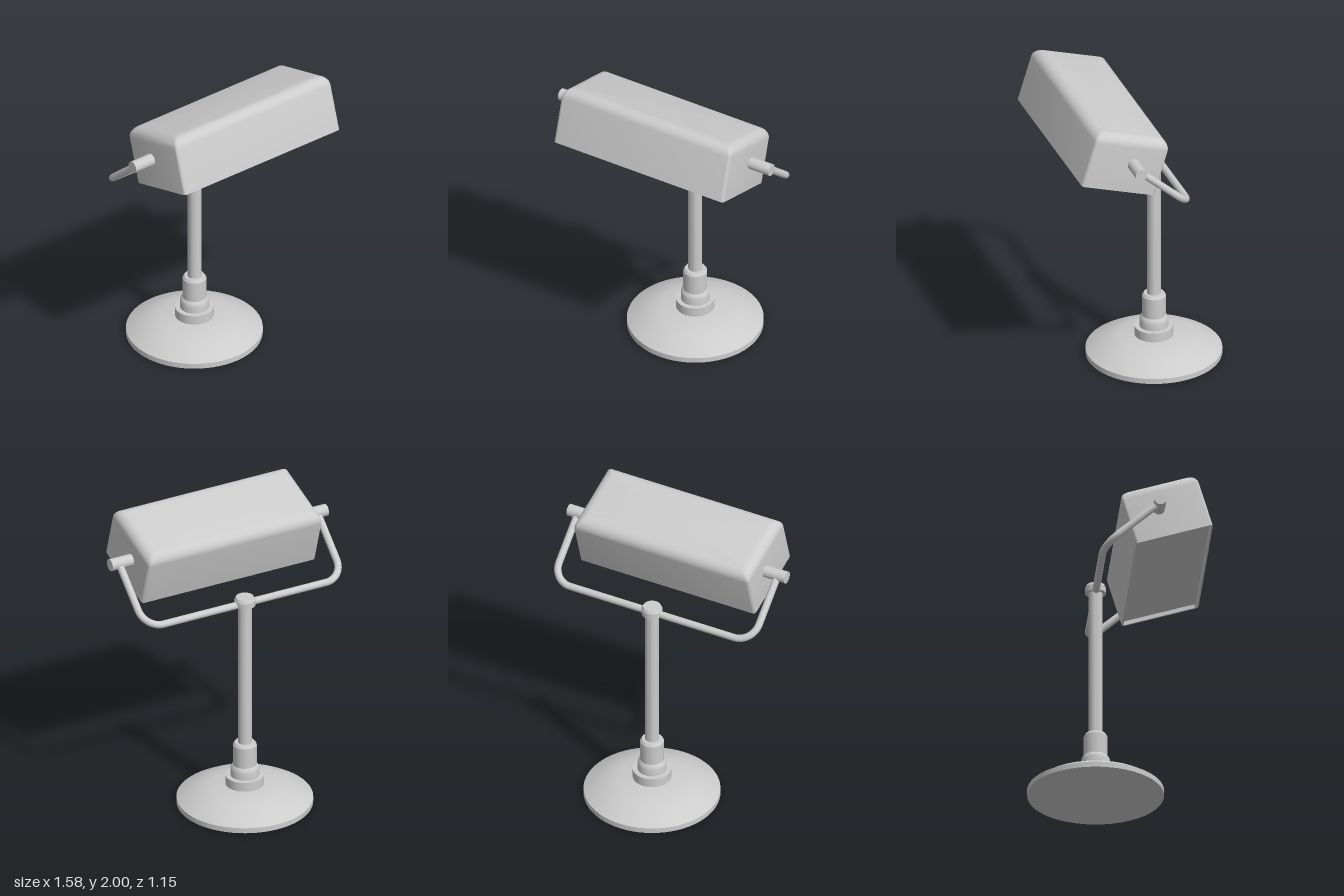
import * as THREE from 'three';
import { toCreasedNormals } from 'three/addons/utils/BufferGeometryUtils.js';

const AXIS_Z = -0.135; // stand axis
const PIVOT = { y: 1.75, z: 0.225 };

const metal = new THREE.MeshStandardMaterial({ color: 0xcccccc });
metal.name = 'grey metal';

function add(parent, name, geometry) {
  const mesh = new THREE.Mesh(geometry, metal);
  mesh.name = name;
  parent.add(mesh);
  return mesh;
}

function lathe(parent, name, profile, segments = 48) {
  const points = profile.map(([r, y]) => new THREE.Vector2(r, y));
  const mesh = add(parent, name, toCreasedNormals(new THREE.LatheGeometry(points, segments), 0.45));
  mesh.position.z = AXIS_Z;
  return mesh;
}

// Rounded rectangle seen from above, counter-clockwise
function ring(halfX, halfZ, radius, y) {
  const points = [];
  const steps = 4;
  const signs = [[1, 1], [-1, 1], [-1, -1], [1, -1]];
  signs.forEach(([sx, sz], corner) => {
    for (let i = 0; i <= steps; i++) {
      const a = (corner + i / steps) * Math.PI / 2;
      points.push([
        sx * (halfX - radius) + radius * Math.cos(a),
        y,
        -(sz * (halfZ - radius) + radius * Math.sin(a)),
      ]);
    }
  });
  return points;
}

// Box with a recessed underside, sharp lower rim and filleted top
function shadeGeometry(halfX, halfZ, height, fillet) {
  const rim = 0.012, recess = 0.026;
  const steps = [[rim, recess], [rim, 0], [0, 0]];
  for (let i = 0; i <= 7; i++) {
    const a = (i / 7) * Math.PI / 2;
    steps.push([fillet * (1 - Math.cos(a)), height - fillet + fillet * Math.sin(a)]);
  }
  const rings = steps.map(([inset, y]) => ring(halfX - inset, halfZ - inset, 0.02, y));
  const n = rings[0].length;
  const positions = rings.flat(2);
  const index = [];
  for (let r = 0; r < rings.length - 1; r++) {
    for (let i = 0; i < n; i++) {
      const a = r * n + i, b = r * n + (i + 1) % n;
      index.push(a, b, b + n, a, b + n, a + n);
    }
  }
  // Underside plate and top face
  const bottom = positions.length / 3, top = bottom + 1, last = (rings.length - 1) * n;
  positions.push(0, recess, 0, 0, height, 0);
  for (let i = 0; i < n; i++) {
    const j = (i + 1) % n;
    index.push(bottom, j, i, top, last + i, last + j);
  }
  const geometry = new THREE.BufferGeometry();
  geometry.setAttribute('position', new THREE.Float32BufferAttribute(positions, 3));
  geometry.setIndex(index);
  return toCreasedNormals(geometry, 0.6);
}

// U-shaped bar lying in the sloping plane between pole top and pivots
function armCurve() {
  const halfX = 0.725, bend = 0.13;
  const low = new THREE.Vector3(0, 1.44, AXIS_Z);
  const slope = new THREE.Vector3(0, PIVOT.y, PIVOT.z).sub(low);
  const length = slope.length();
  slope.normalize();
  const at = (x, d) => low.clone().addScaledVector(slope, d).setX(x);
  const path = new THREE.CurvePath();
  const corner = (s, from, to) => {
    const k = 0.448; // circular arc handle
    const c = at(s * halfX, 0);
    path.add(new THREE.CubicBezierCurve3(from, from.clone().lerp(c, 1 - k), to.clone().lerp(c, 1 - k), to));
  };
  path.add(new THREE.LineCurve3(at(-halfX, length), at(-halfX, bend)));
  corner(-1, at(-halfX, bend), at(-halfX + bend, 0));
  path.add(new THREE.LineCurve3(at(-halfX + bend, 0), at(halfX - bend, 0)));
  corner(1, at(halfX - bend, 0), at(halfX, bend));
  path.add(new THREE.LineCurve3(at(halfX, bend), at(halfX, length)));
  return path;
}

export function createModel() {
  const lamp = new THREE.Group();
  lamp.name = 'deskLamp';

  // Stand
  lathe(lamp, 'base', [
    [0, 0], [0.44, 0], [0.44, 0.036], [0.38, 0.072], [0.3, 0.11], [0.22, 0.133], [0, 0.135],
  ], 64);
  lathe(lamp, 'collar', [[0.125, 0.125], [0.125, 0.197], [0, 0.197]]);
  lathe(lamp, 'socket', [
    [0.093, 0.19], [0.093, 0.245], [0.088, 0.262], [0.077, 0.275],
    [0.077, 0.415], [0.065, 0.433], [0, 0.433],
  ]);
  lathe(lamp, 'pole', [[0.045, 0.42], [0.045, 1.45]], 32);
  lathe(lamp, 'poleCap', [
    [0, 1.43], [0.068, 1.43], [0.068, 1.468], [0.058, 1.488], [0, 1.488],
  ], 32);

  // Arm and pivots
  add(lamp, 'arm', new THREE.TubeGeometry(armCurve(), 120, 0.024, 16));
  for (const side of [1, -1]) {
    const pivot = add(lamp, side > 0 ? 'leftPivot' : 'rightPivot',
      new THREE.CylinderGeometry(0.04, 0.04, 0.17, 32));
    pivot.rotation.z = Math.PI / 2;
    pivot.position.set(side * 0.705, PIVOT.y, PIVOT.z);
  }

  // Tilted shade
  const shade = add(lamp, 'shade', shadeGeometry(0.635, 0.259, 0.384, 0.07));
  shade.position.set(0, 1.575, 0.327);
  shade.rotation.x = -0.295;

  return lamp;
}
